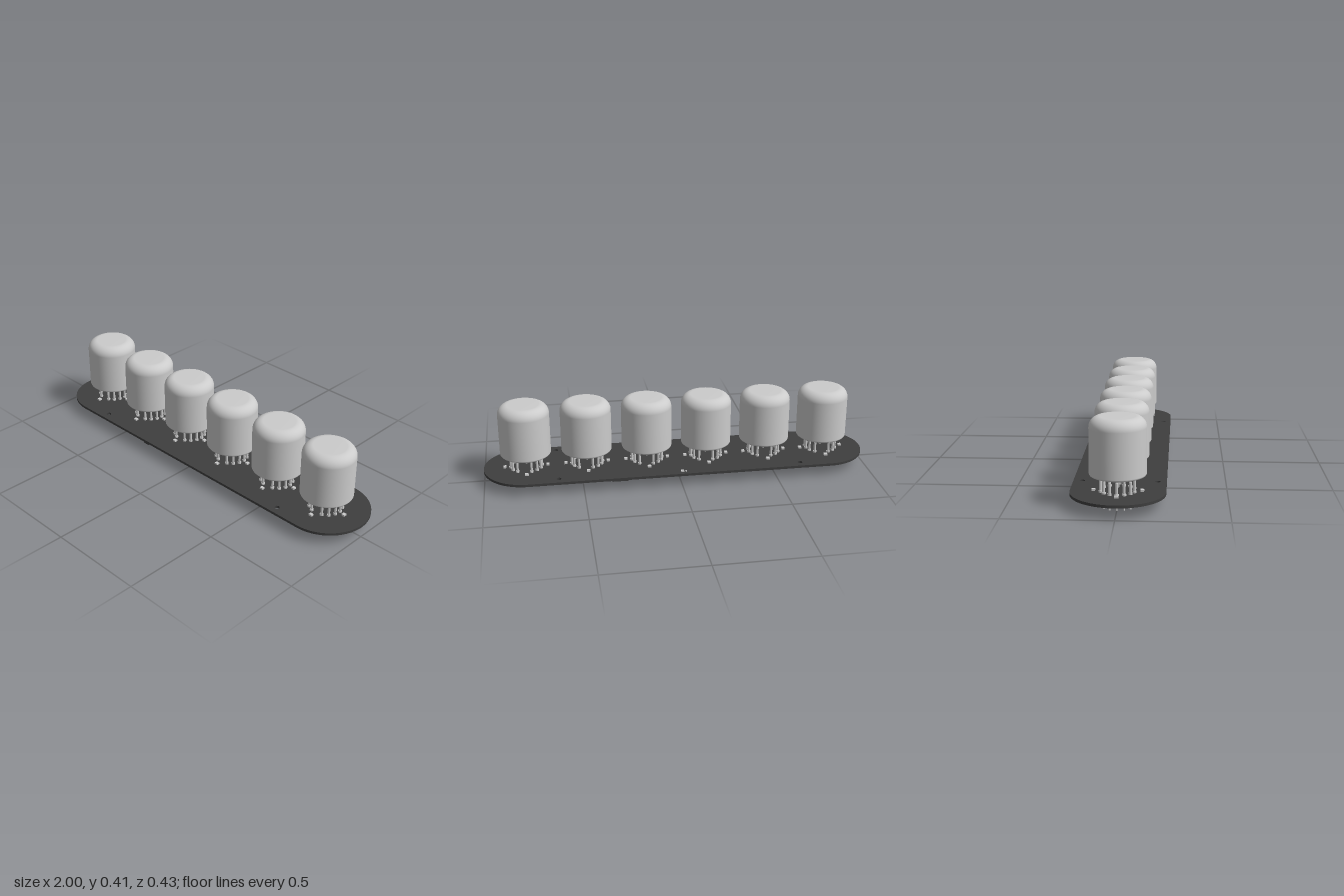
import * as THREE from 'three';
import { mergeGeometries } from 'three/addons/utils/BufferGeometryUtils.js';

const GREY = new THREE.MeshStandardMaterial({ color: 0xcccccc });
const DARK = new THREE.MeshStandardMaterial({ color: 0x3f3f3f });
const BOARD_BOTTOM = 0.055, BOARD_TOP = 0.068;

function mesh(name, geometry, material, parent) {
  const m = new THREE.Mesh(geometry, material);
  m.name = name;
  parent.add(m);
  return m;
}

// Box and upright cylinder given by their vertical extent
function block(x, z, w, d, y0, y1, turn = 0) {
  return new THREE.BoxGeometry(w, y1 - y0, d).rotateY(turn).translate(x, (y0 + y1) / 2, z);
}
function rod(x, z, r, y0, y1) {
  return new THREE.CylinderGeometry(r, r, y1 - y0, 10).translate(x, (y0 + y1) / 2, z);
}

// Quarter-round profile points around (cx, cy), from angle a to b
function arc(cx, cy, r, a, b, n) {
  return Array.from({ length: n + 1 }, (_, i) => {
    const t = a + (b - a) * i / n;
    return new THREE.Vector2(cx + r * Math.cos(t), cy + r * Math.sin(t));
  });
}

// Stadium-shaped board with four mounting holes
function boardGeometry() {
  const r = 0.217, c = 1 - r;
  const s = new THREE.Shape();
  s.absarc(c, 0, r, -Math.PI / 2, Math.PI / 2, false);
  s.absarc(-c, 0, r, Math.PI / 2, Math.PI * 1.5, false);
  s.closePath();
  for (const x of [-0.625, 0.625]) for (const z of [-0.175, 0.175]) {
    const h = new THREE.Path();
    h.absarc(x, z, 0.013, 0, Math.PI * 2, true);
    s.holes.push(h);
  }
  return new THREE.ExtrudeGeometry(s, { depth: BOARD_TOP - BOARD_BOTTOM, bevelEnabled: false, curveSegments: 32 })
    .rotateX(-Math.PI / 2).translate(0, BOARD_BOTTOM, 0);
}

// Thirteen pin angles: fifteen even places with two left empty
const pinAngles = [];
for (let k = 0; k < 6; k++) pinAngles.push(25 + 24 * k);
for (let k = 0; k < 7; k++) pinAngles.push(-18 - 24 * k);

function tubeGeometries() {
  const envelope = new THREE.LatheGeometry([
    new THREE.Vector2(0, 0.143),
    ...arc(0.12, 0.153, 0.01, -Math.PI / 2, 0, 4),
    ...arc(0.08, 0.363, 0.05, 0, Math.PI / 2, 10),
    new THREE.Vector2(0, 0.413),
  ], 48);
  const stem = new THREE.LatheGeometry([
    [0, 0.08], [0.008, 0.088], [0.009, 0.118], [0.013, 0.132], [0.024, 0.144],
  ].map(p => new THREE.Vector2(...p)), 16);
  const pins = [], sockets = [], lamps = [], pads = [];
  for (const deg of pinAngles) {
    const a = deg * Math.PI / 180, x = 0.08 * Math.sin(a), z = 0.08 * Math.cos(a);
    pins.push(rod(x, z, 0.0035, 0, 0.05), rod(x, z, 0.0045, 0.12, 0.146));
    sockets.push(rod(x, z, 0.0065, 0.042, 0.126), rod(x, z, 0.0095, BOARD_TOP - 0.001, 0.077));
  }
  // Surface parts around the pins, above and below the board
  for (let i = 0; i < 4; i++) {
    const a = i * Math.PI / 2;
    lamps.push(block(0.11 * Math.sin(a), 0.11 * Math.cos(a), 0.018, 0.016, BOARD_TOP - 0.001, 0.077, a));
  }
  for (let i = 0; i < 8; i++) {
    const a = (i + 0.5) * Math.PI / 4;
    pads.push(block(0.125 * Math.sin(a), 0.125 * Math.cos(a), 0.018, 0.01, 0.049, BOARD_BOTTOM + 0.001, a));
  }
  return [
    ['envelope', envelope, GREY], ['stem', stem, GREY],
    ['pins', mergeGeometries(pins), GREY], ['sockets', mergeGeometries(sockets), GREY],
    ['lamps', mergeGeometries(lamps), GREY], ['undersideParts', mergeGeometries(pads), DARK],
  ];
}

// Flat chip with a row of leads on both long sides
function chip(x, z, parent) {
  const g = new THREE.Group();
  g.name = 'chip';
  parent.add(g);
  mesh('chipBody', block(x, z, 0.085, 0.034, 0.045, BOARD_BOTTOM + 0.001), DARK, g);
  const leads = [];
  for (let i = 0; i < 8; i++) for (const s of [-1, 1]) {
    leads.push(block(x + (i - 3.5) * 0.0105, z + s * 0.021, 0.004, 0.01, 0.051, BOARD_BOTTOM + 0.001));
  }
  mesh('chipLeads', mergeGeometries(leads), GREY, g);
}

export function createModel() {
  const model = new THREE.Group();
  model.name = 'tubeDisplay';
  mesh('board', boardGeometry(), DARK, model);

  // Six identical tubes
  const parts = tubeGeometries();
  for (let i = 0; i < 6; i++) {
    const tube = new THREE.Group();
    tube.name = 'tube';
    tube.position.x = (i - 2.5) * 0.313;
    for (const [name, geometry, material] of parts) mesh(name, geometry, material, tube);
    model.add(tube);
  }

  // Connectors and chips under the board
  mesh('frontConnector', block(-0.307, 0.14, 0.035, 0.086, 0.016, BOARD_BOTTOM + 0.001), DARK, model);
  mesh('backConnector', block(0.31, -0.13, 0.086, 0.034, 0.016, BOARD_BOTTOM + 0.001), DARK, model);
  for (const [x, z] of [[0, -0.13], [-0.31, -0.13], [0.37, 0.13]]) chip(x, z, model);

  // Small sensor at the back edge
  mesh('sensor', block(-0.003, -0.19, 0.016, 0.014, BOARD_TOP - 0.001, 0.076), GREY, model);
  mesh('sensorPart', block(-0.022, -0.19, 0.006, 0.012, BOARD_TOP - 0.001, 0.072), GREY, model);
  return model;
}
